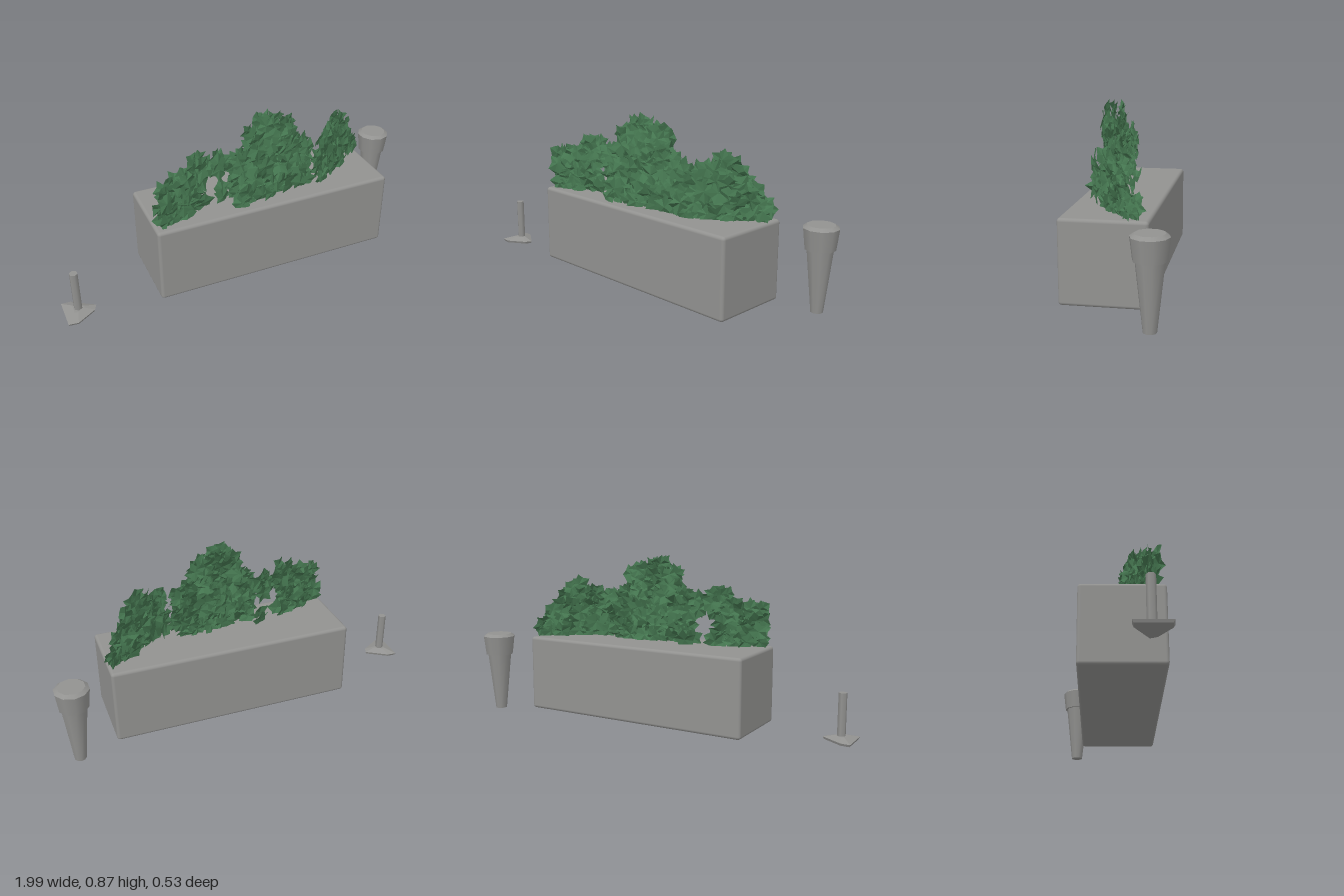
import * as THREE from 'three';
import { mergeGeometries } from 'three/addons/utils/BufferGeometryUtils.js';
import { RoundedBoxGeometry } from 'three/addons/geometries/RoundedBoxGeometry.js';
import { ConvexGeometry } from 'three/addons/geometries/ConvexGeometry.js';

const stone = new THREE.MeshStandardMaterial({ color: 0x929290 });
stone.name = 'stone grey';
const leafGreen = new THREE.MeshStandardMaterial({ color: 0x44754f, flatShading: true, side: THREE.DoubleSide });
leafGreen.name = 'leaf green';

let seed = 11;
const rand = (a, b) => {
  seed = (seed * 16807) % 2147483647;
  return a + (b - a) * (seed / 2147483647);
};

function add(group, geometry, material, name, x = 0, y = 0, z = 0) {
  const mesh = new THREE.Mesh(geometry, material);
  mesh.name = name;
  mesh.position.set(x, y, z);
  group.add(mesh);
  return mesh;
}

// Jagged, slightly folded leaf with alternating long and short points
function leaf(size) {
  const g = new THREE.CircleGeometry(1, 10);
  const p = g.attributes.position;
  for (let i = 1; i < p.count - 1; i++) {
    const r = size * (i % 2 ? rand(0.85, 1.1) : rand(0.52, 0.72));
    p.setXYZ(i, p.getX(i) * r, p.getY(i) * r, rand(-0.3, 0.1) * size);
  }
  p.setXYZ(p.count - 1, p.getX(1), p.getY(1), p.getZ(1));
  return g;
}

// Height of a bush outline at x, from [x, height] points
function heightAt(outline, x) {
  for (let i = 1; i < outline.length; i++) {
    const [x0, y0] = outline[i - 1], [x1, y1] = outline[i];
    if (x <= x1) return y0 + (y1 - y0) * THREE.MathUtils.clamp((x - x0) / (x1 - x0), 0, 1);
  }
  return outline[outline.length - 1][1];
}

// A bush is a few upright sheets of overlapping leaves along a line in x and z
function bush({ outline, zStart, zEnd, layers, gap }) {
  const x0 = outline[0][0], x1 = outline[outline.length - 1][0];
  const yaw = -Math.atan2(zEnd - zStart, x1 - x0);
  const leaves = [];
  const e = new THREE.Euler();
  for (const offset of layers) {
    for (let x = x0 + 0.045; x <= x1 - 0.035; x += 0.042) {
      const top = heightAt(outline, x) - 0.045;
      const rows = Math.max(1, Math.ceil((top - 0.44) / 0.055));
      for (let k = 0; k <= rows; k++) {
        const y = 0.44 + (top - 0.44) * k / rows;
        const lx = x + rand(-0.012, 0.012);
        const size = k === rows ? rand(0.045, 0.055) : rand(0.05, 0.065);
        if (gap && Math.hypot(lx - gap[0], y - gap[1]) < gap[2] + size * 0.85) continue;
        const t = (lx - x0) / (x1 - x0);
        const g = leaf(size);
        g.rotateZ(rand(0, 6.28));
        e.set(rand(-0.5, 0.35), yaw + rand(-0.35, 0.35), 0, 'YXZ');
        g.applyMatrix4(new THREE.Matrix4().makeRotationFromEuler(e));
        g.translate(lx, y, zStart + (zEnd - zStart) * t + offset + rand(-0.015, 0.015));
        leaves.push(g);
      }
    }
  }
  return mergeGeometries(leaves);
}

export function createModel() {
  const model = new THREE.Group();
  model.name = 'planterSet';

  // Planter block
  add(model, new RoundedBoxGeometry(1.25, 0.396, 0.405, 3, 0.016), stone, 'planterBox', 0.088, 0.217, 0.06);

  // Three bushes
  const bushes = {
    leftBush: {
      outline: [[-0.52, 0.56], [-0.47, 0.66], [-0.37, 0.65], [-0.28, 0.75], [-0.24, 0.68], [-0.15, 0.7], [-0.1, 0.6]],
      zStart: 0.215, zEnd: 0.08, layers: [-0.022, 0.022], gap: [-0.2, 0.51, 0.035],
    },
    middleBush: {
      outline: [[-0.13, 0.52], [-0.09, 0.69], [-0.04, 0.71], [0.01, 0.84], [0.06, 0.88], [0.12, 0.83], [0.2, 0.83],
        [0.24, 0.72], [0.3, 0.67], [0.36, 0.46]],
      zStart: 0.18, zEnd: 0.105, layers: [-0.045, 0, 0.03],
    },
    rightBush: {
      outline: [[0.34, 0.5], [0.38, 0.68], [0.46, 0.69], [0.52, 0.75], [0.6, 0.68], [0.65, 0.57], [0.72, 0.5]],
      zStart: 0.17, zEnd: -0.08, layers: [-0.02, 0.02],
    },
  };
  for (const [name, spec] of Object.entries(bushes)) add(model, bush(spec), leafGreen, name);

  // Tapered post with a wide head
  const post = new THREE.Group();
  post.name = 'taperedPost';
  post.position.set(0.908, 0, -0.18);
  model.add(post);
  add(post, new THREE.CylinderGeometry(0.064, 0.03, 0.31, 10), stone, 'postShaft', 0, 0.16, 0);
  add(post, new THREE.CylinderGeometry(0.085, 0.073, 0.1, 10), stone, 'postHead', 0, 0.36, 0);
  add(post, new THREE.CylinderGeometry(0.066, 0.085, 0.014, 10), stone, 'postCap', 0, 0.417, 0);

  // Thin stake on a low pointed foot
  const stake = new THREE.Group();
  stake.name = 'stake';
  stake.position.set(-0.932, 0, 0.162);
  model.add(stake);
  const foot = [[-0.068, -0.08], [-0.02, -0.077], [0.09, -0.005], [0.075, 0.028], [-0.02, 0.088], [-0.068, 0.083]];
  const points = foot.flatMap(([x, z]) => [
    new THREE.Vector3(x * 0.93, 0, z * 0.93),
    new THREE.Vector3(x, 0.012, z),
    new THREE.Vector3(x * 0.35, 0.028, z * 0.35),
  ]);
  add(stake, new ConvexGeometry(points), stone, 'stakeFoot');
  add(stake, new THREE.CylinderGeometry(0.021, 0.021, 0.22, 6), stone, 'stakeShaft', 0, 0.13, 0);

  return model;
}
